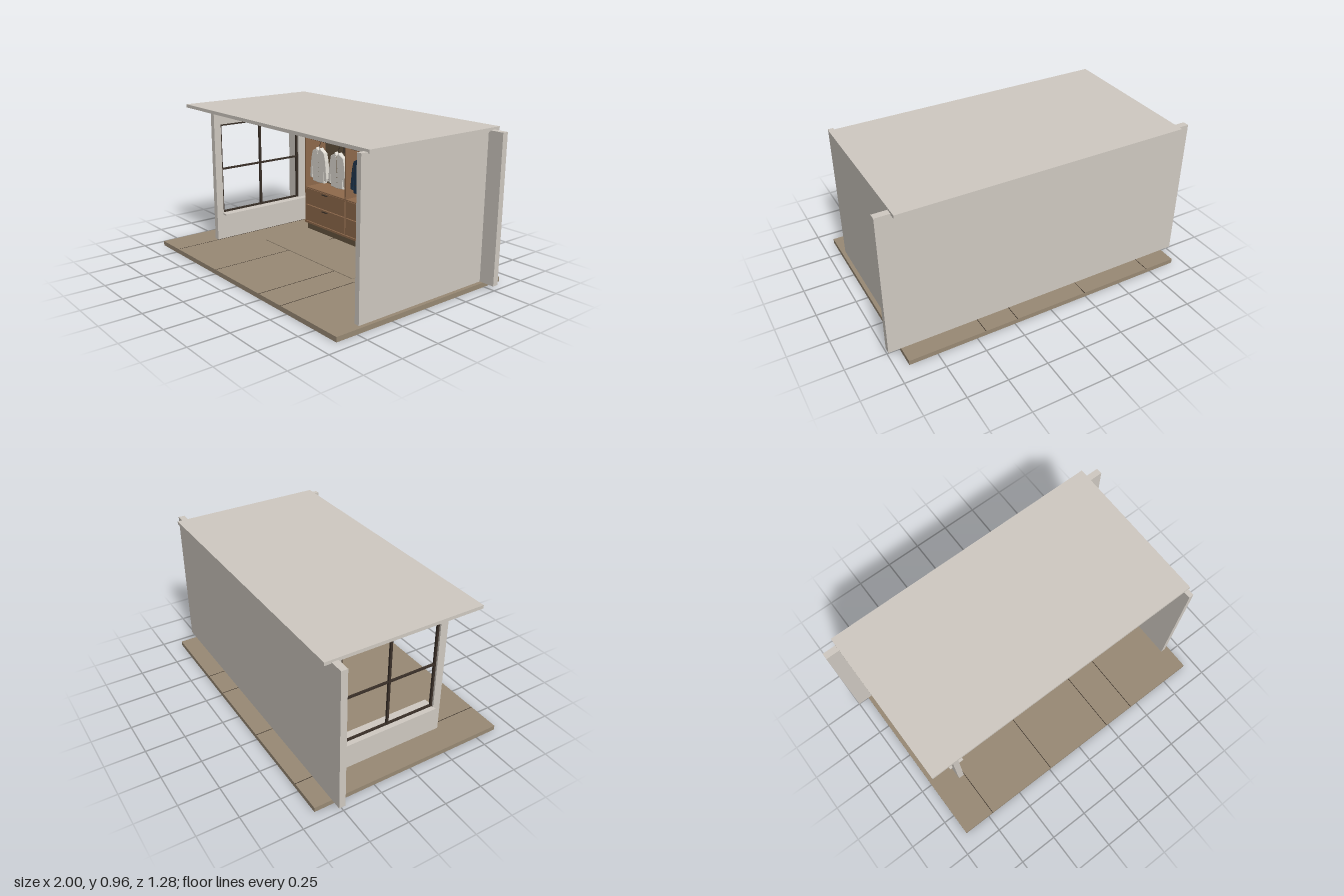
import * as THREE from 'three';

const mat = (name, color, side = THREE.FrontSide) => {
  const m = new THREE.MeshStandardMaterial({ color, side });
  m.name = name;
  return m;
};

export function createModel() {
  const M = {
    plaster: mat('plaster', 0xd0cac2),
    floor: mat('floorTimber', 0x998a75),
    wood: mat('walnut', 0x8f6a4c),
    darkWood: mat('darkWalnut', 0x65553f),
    metal: mat('darkMetal', 0x3a3028),
    white: mat('whiteCloth', 0xdedad2),
    navy: mat('navyCloth', 0x203850),
    khaki: mat('khakiCloth', 0x66543a),
  };
  const root = new THREE.Group();
  root.name = 'dressingRoom';

  const group = (name) => {
    const g = new THREE.Group();
    g.name = name;
    root.add(g);
    return g;
  };
  const add = (parent, name, geo, m) => {
    const mesh = new THREE.Mesh(geo, m);
    mesh.name = name;
    parent.add(mesh);
    return mesh;
  };
  // box given by its minimum and maximum on each axis
  const box = (parent, name, m, x0, x1, y0, y1, z0, z1) => {
    const b = add(parent, name, new THREE.BoxGeometry(x1 - x0, y1 - y0, z1 - z0), m);
    b.position.set((x0 + x1) / 2, (y0 + y1) / 2, (z0 + z1) / 2);
    return b;
  };
  const rod = (parent, name, m, x0, x1, y, z, r) => {
    const c = add(parent, name, new THREE.CylinderGeometry(r, r, x1 - x0, 10), m);
    c.rotation.z = Math.PI / 2;
    c.position.set((x0 + x1) / 2, y, z);
  };

  // room shell
  const shell = group('roomShell');
  box(shell, 'floor', M.floor, -0.928, 0.924, 0, 0.03, -0.64, 0.64);
  for (const x of [-0.718, -0.243, 0.232, 0.443])
    box(shell, 'plankSeam', M.metal, x - 0.002, x + 0.002, 0.03, 0.0306, -0.64, 0.64);
  box(shell, 'rug', M.floor, -0.51, 0.4, 0.03, 0.034, -0.26, 0.08);
  box(shell, 'backWall', M.plaster, -1, 1, 0.03, 0.943, -0.528, -0.488);
  box(shell, 'leftWall', M.plaster, 0.868, 0.9, 0.03, 0.943, -0.488, 0.47);
  box(shell, 'roof', M.plaster, -0.915, 0.91, 0.936, 0.957, -0.57, 0.425);
  box(shell, 'baseboard', M.darkWood, -0.86, 0.858, 0.03, 0.052, -0.488, -0.478);

  // right wall built around its window opening
  const win = group('windowWall');
  const wx0 = -0.76, wx1 = -0.722;
  box(win, 'parapet', M.plaster, wx0, wx1, 0.03, 0.2, -0.488, 0.33);
  box(win, 'header', M.plaster, wx0, wx1, 0.83, 0.937, -0.488, 0.33);
  box(win, 'frontPost', M.plaster, wx0, wx1, 0.2, 0.83, 0.28, 0.33);
  box(win, 'rearPost', M.plaster, wx0, wx1, 0.2, 0.83, -0.488, -0.37);
  box(win, 'sill', M.plaster, -0.78, -0.678, 0.203, 0.213, -0.42, 0.285);
  for (const z of [-0.363, -0.043, 0.274])
    box(win, 'mullion', M.metal, -0.748, -0.734, 0.213, 0.83, z - 0.007, z + 0.007);
  for (const y of [0.219, 0.52, 0.823])
    box(win, 'transom', M.metal, -0.747, -0.735, y - 0.006, y + 0.006, -0.37, 0.28);

  // wardrobe carcass
  const robe = group('wardrobe');
  const back = -0.487, front = -0.3;
  box(robe, 'plinth', M.darkWood, -0.54, 0.536, 0.03, 0.076, back, front - 0.012);
  box(robe, 'bottomPanel', M.wood, -0.556, 0.553, 0.076, 0.09, back, front + 0.004);
  box(robe, 'topPanel', M.wood, -0.556, 0.553, 0.727, 0.741, back, front + 0.004);
  box(robe, 'backPanel', M.darkWood, -0.55, 0.548, 0.09, 0.727, back, back + 0.01);
  for (const x of [-0.549, -0.115, 0.314, 0.546])
    box(robe, 'uprightPanel', M.wood, x - 0.006, x + 0.006, 0.09, 0.727, back, front);

  // drawers and hanging space in the two wide bays
  for (const [x0, x1] of [[-0.543, -0.121], [-0.109, 0.308]]) {
    const mid = (x0 + x1) / 2;
    box(robe, 'drawerCase', M.darkWood, x0, x1, 0.09, 0.335, back + 0.01, front - 0.014);
    box(robe, 'drawerTop', M.wood, x0, x1, 0.335, 0.343, back + 0.01, front);
    for (const y of [0.093, 0.216]) {
      box(robe, 'drawerFront', M.wood, x0 + 0.003, x1 - 0.003, y, y + 0.117, front - 0.014, front);
      box(robe, 'drawerHandle', M.metal, mid - 0.028, mid + 0.028, y + 0.101, y + 0.107, front, front + 0.008);
    }
    rod(robe, 'hangingRail', M.metal, x0, x1, 0.685, -0.345, 0.005);
    box(robe, 'backBatten', M.wood, x0, x1, 0.645, 0.653, back + 0.01, back + 0.02);
    box(robe, 'railSupport', M.metal, mid - 0.003, mid + 0.003, 0.6, 0.727, back + 0.01, back + 0.016);
    box(robe, 'railHanger', M.metal, mid - 0.003, mid + 0.003, 0.685, 0.727, -0.348, -0.342);
  }

  // open shelves in the narrow bay
  for (const y of [0.205, 0.335, 0.443, 0.558, 0.65])
    box(robe, 'shelf', M.darkWood, 0.32, 0.54, y - 0.005, y + 0.005, back + 0.01, front - 0.006);
  rod(robe, 'shortRail', M.metal, 0.34, 0.526, 0.685, -0.345, 0.004);

  // half outline of a hanging garment, mirrored about its centre
  const garments = group('garments');
  const half = [[0, 0.612], [0.02, 0.632], [0.03, 0.622], [0.062, 0.605], [0.076, 0.55],
    [0.09, 0.43], [0.087, 0.415], [0.069, 0.413], [0.061, 0.5], [0.058, 0.395], [0, 0.39]];
  const garment = (name, cx, m, trim, buttons, pockets) => {
    const g = new THREE.Group();
    g.name = name;
    g.position.set(cx, 0, 0);
    garments.add(g);
    const pts = [...half, ...half.slice(1, -1).reverse().map(([x, y]) => [-x, y])];
    const body = add(g, 'body', new THREE.ExtrudeGeometry(
      new THREE.Shape(pts.map(([x, y]) => new THREE.Vector2(x, y))),
      { depth: 0.02, bevelThickness: 0.006, bevelSize: 0.004, bevelSegments: 2 }), m);
    body.position.z = -0.355;
    const zf = -0.329;
    box(g, 'frontSeam', trim, -0.001, 0.001, 0.395, 0.61, zf, zf + 0.001);
    for (let i = 0; i < buttons; i++)
      box(g, 'button', trim, 0.003, 0.007, 0.43 + i * 0.033, 0.434 + i * 0.033, zf, zf + 0.002);
    for (const s of [-1, 1]) {
      const collar = box(g, 'collar', m, -0.006, 0.006, -0.022, 0.022, 0, 0.005);
      collar.position.set(s * 0.014, 0.606, zf);
      collar.rotation.z = -s * 0.45;
      if (pockets) {
        box(g, 'pocketFlap', trim, s * 0.033 - 0.016, s * 0.033 + 0.016, 0.448, 0.451, zf, zf + 0.002);
        box(g, 'sleeveSeam', trim, s * 0.06 - 0.001, s * 0.06 + 0.001, 0.5, 0.58, zf, zf + 0.001);
      }
    }
    // wire hanger with hook
    add(g, 'hangerHook', new THREE.TubeGeometry(new THREE.CatmullRomCurve3(
      [[0, 0.615], [0, 0.655], [0.01, 0.672], [0.008, 0.69], [-0.006, 0.693]]
        .map(([x, y]) => new THREE.Vector3(x, y, -0.345))), 12, 0.0018, 6), M.metal);
  };
  garment('whiteShirt', -0.443, M.white, M.darkWood, 4, false);
  garment('whiteShirt', -0.24, M.white, M.darkWood, 4, false);
  garment('navyJacket', -0.005, M.navy, M.metal, 2, true);
  garment('khakiJacket', 0.2, M.khaki, M.metal, 5, true);

  // folded clothes
  const items = group('shelfItems');
  const stack = (name, m, x0, x1, y, layers) => {
    for (let i = 0; i < layers; i++)
      box(items, name, m, x0 + i * 0.004, x1 - i * 0.004, y + i * 0.012, y + 0.011 + i * 0.012, -0.43, -0.32);
  };
  stack('foldedShirt', M.white, 0.375, 0.485, 0.563, 1);
  stack('foldedLinen', M.white, 0.378, 0.482, 0.448, 2);
  stack('foldedKhaki', M.khaki, 0.342, 0.412, 0.34, 1);
  stack('foldedNavy', M.navy, 0.445, 0.52, 0.34, 1);

  // pairs of shoes: sole, toe and heel
  const shoes = (name, m, y, h) => {
    for (const x of [0.41, 0.452]) {
      box(items, name + 'Sole', m, x - 0.017, x + 0.017, y, y + 0.007, -0.42, -0.325);
      const toe = add(items, name + 'Toe', new THREE.SphereGeometry(1, 14, 10), m);
      toe.scale.set(0.017, h * 0.6, 0.05);
      toe.position.set(x, y + 0.008, -0.372);
      const heel = add(items, name + 'Heel', new THREE.CylinderGeometry(0.012, 0.016, h, 12), m);
      heel.position.set(x, y + h / 2, -0.402);
    }
  };
  shoes('whiteShoe', M.white, 0.21, 0.044);
  shoes('brownShoe', M.metal, 0.09, 0.03);

  return root;
}
